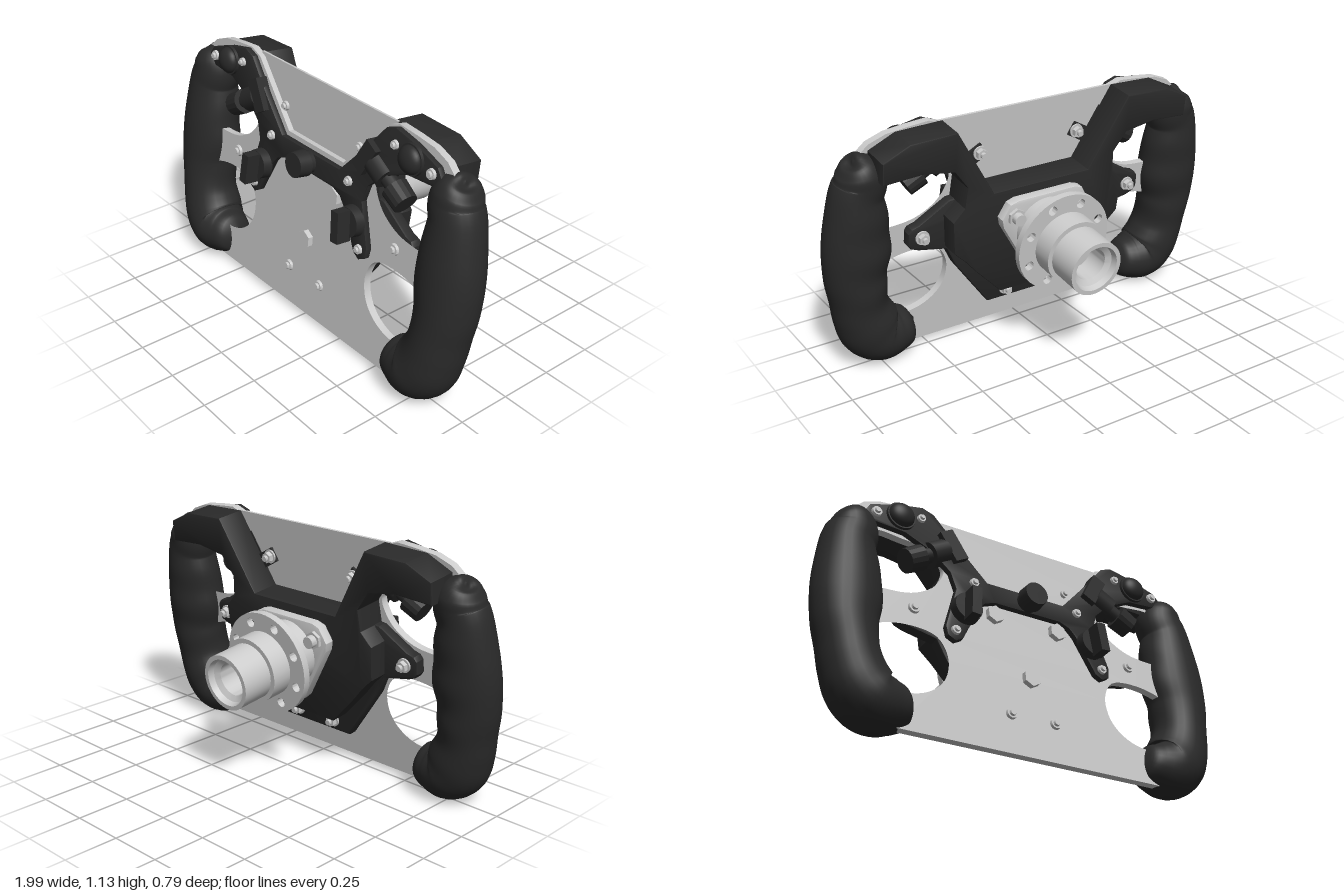
import * as THREE from 'three';
import { toCreasedNormals } from 'three/addons/utils/BufferGeometryUtils.js';

const grey = new THREE.MeshStandardMaterial({ color: 0xcccccc });
const black = new THREE.MeshStandardMaterial({ color: 0x2a2a2a });
const SIDES = [1, -1];

// Layout: z = 0 is the front surface of the main plate, y is measured from the ground.
export function createModel() {
  const model = new THREE.Group();
  const tilt = new THREE.Group();
  const body = new THREE.Group();
  tilt.name = 'tiltedWheel';
  body.name = 'wheelBody';
  model.add(tilt);
  tilt.add(body);

  const add = (name, geo, mat, x = 0, y = 0, z = 0) => {
    const m = new THREE.Mesh(geo, mat);
    m.name = name;
    m.position.set(x, y, z);
    body.add(m);
    return m;
  };
  // Cylinder along z between z0 and z1
  const peg = (name, mat, x, y, rBack, rFront, z0, z1, seg = 20) => {
    const g = new THREE.CylinderGeometry(rFront, rBack, z1 - z0, seg).rotateX(Math.PI / 2);
    return add(name, toCreasedNormals(g, 0.6), mat, x, y, (z0 + z1) / 2);
  };
  // Screw with a raised round centre
  const screw = (name, x, y, r, z) => {
    peg(name, grey, x, y, r, r * 0.9, z, z + 0.012);
    peg(name + 'Centre', grey, x, y, r * 0.6, r * 0.5, z + 0.012, z + 0.022, 12);
  };
  const v2 = (p) => p.map(([x, y]) => new THREE.Vector2(x, y));
  // Right-hand outline completed by its mirror image
  const mirrored = (half) =>
    new THREE.Shape(v2([...half, ...half.map(([x, y]) => [-x, y]).reverse()]));
  const slab = (name, shape, mat, z0, z1, bevel = 0) => {
    const g = new THREE.ExtrudeGeometry(shape, {
      depth: z1 - z0 - 2 * bevel, curveSegments: 24, bevelEnabled: bevel > 0,
      bevelSize: bevel, bevelThickness: bevel, bevelOffset: -bevel, bevelSegments: 2,
    });
    return add(name, toCreasedNormals(g, 0.5), mat, 0, 0, z0 + bevel);
  };
  const roundHole = (pts, s) => {
    const c = new THREE.CatmullRomCurve3(pts.map(([x, y]) => new THREE.Vector3(s * x, y, 0)), true);
    return new THREE.Path(c.getPoints(48).map((p) => new THREE.Vector2(p.x, p.y)));
  };

  // Main plate with thumb openings
  const plate = mirrored([[0.19, 0.85], [0.435, 1.115], [0.5, 1.14], [0.6, 1.132], [0.7, 1.12], [0.78, 1.09],
    [0.83, 1.045], [0.85, 0.95], [0.88, 0.8], [0.88, 0.3], [0.8, 0.12], [0.66, 0.03]]);
  for (const s of SIDES) {
    plate.holes.push(
      roundHole([[0.8, 0.68], [0.68, 0.67], [0.55, 0.69], [0.445, 0.76], [0.4, 0.87], [0.47, 0.935],
        [0.6, 0.955], [0.74, 0.955], [0.8, 0.85]], s),
      roundHole([[0.8, 0.4], [0.74, 0.48], [0.6, 0.52], [0.45, 0.5], [0.4, 0.41], [0.42, 0.3],
        [0.5, 0.225], [0.62, 0.2], [0.76, 0.27]], s));
  }
  slab('mainPlate', plate, grey, -0.035, 0);
  slab('upperPanel', mirrored([[0.46, 1.132], [0.38, 0.98], [0.25, 0.78]]), grey, -0.038, -0.026);

  // Black control panel on the front
  slab('controlPanel', mirrored([[0.2, 0.83], [0.33, 0.97], [0.455, 1.115], [0.51, 1.135], [0.63, 1.11],
    [0.76, 1.065], [0.785, 1.03], [0.775, 0.995], [0.74, 0.98], [0.6, 0.97], [0.47, 0.91], [0.385, 0.83],
    [0.36, 0.75], [0.42, 0.55], [0.412, 0.505], [0.375, 0.485], [0.34, 0.505], [0.25, 0.68], [0.22, 0.715],
    [0.17, 0.735]]), black, 0, 0.03, 0.004);

  // Rear housing: deep core with horns, and a thinner base around it
  slab('rearHousing', mirrored([[0.25, 0.8], [0.44, 1.132], [0.66, 1.125], [0.785, 1.065], [0.785, 0.965],
    [0.6, 0.975], [0.45, 0.95], [0.385, 0.86], [0.395, 0.76], [0.45, 0.7], [0.44, 0.54], [0.38, 0.48],
    [0.33, 0.42], [0.19, 0.27]]), black, -0.18, -0.035, 0.006);
  slab('housingBase', mirrored([[0.2, 0.78], [0.42, 0.76], [0.57, 0.67], [0.605, 0.66], [0.62, 0.64], [0.62, 0.58],
    [0.605, 0.56], [0.57, 0.545], [0.43, 0.515], [0.385, 0.42], [0.2, 0.16]]), black, -0.09, -0.035, 0.01);

  // Hand grips: oval sections swept along a bent path (x, y, radius across, radius in depth)
  const stations = [
    [0.85, 1.035, 0.001, 0.001], [0.843, 1.027, 0.06, 0.07], [0.828, 0.985, 0.098, 0.102],
    [0.82, 0.93, 0.115, 0.108], [0.838, 0.86, 0.122, 0.112], [0.842, 0.7, 0.147, 0.124],
    [0.845, 0.58, 0.152, 0.127], [0.85, 0.47, 0.14, 0.126], [0.84, 0.37, 0.13, 0.127],
    [0.82, 0.27, 0.135, 0.131], [0.785, 0.188, 0.145, 0.136], [0.735, 0.142, 0.137, 0.137],
    [0.66, 0.137, 0.115, 0.118], [0.6, 0.15, 0.085, 0.085], [0.566, 0.158, 0.001, 0.001]];
  const gripPath = new THREE.CatmullRomCurve3(stations.map(([x, y, r]) => new THREE.Vector3(x, y, r)));
  const gripDepth = new THREE.SplineCurve(stations.map(([, , , d], i) => new THREE.Vector2(i, d)));
  const gripGeometry = (s, rows = 90, cols = 28) => {
    const pos = [], idx = [];
    for (let i = 0; i <= rows; i++) {
      const p = gripPath.getPoint(i / rows);
      const t = gripPath.getTangent(i / rows).setZ(0).normalize();
      const depth = gripDepth.getPoint(i / rows).y;
      for (let j = 0; j < cols; j++) {
        const a = (j / cols) * Math.PI * 2, c = Math.cos(a), n = Math.sin(a);
        const finger = 1 + 0.035 * Math.sin(p.y * 34) * Math.max(0, -0.6 * c - 0.6 * n);
        const r = Math.max(p.z, 0.001) * finger;
        pos.push(s * (p.x - t.y * c * r), p.y + t.x * c * r, -0.036 + n * depth * finger);
        if (i < rows) {
          const A = i * cols + j, B = i * cols + ((j + 1) % cols), C = A + cols, D = B + cols;
          idx.push(...(s > 0 ? [A, B, C, B, D, C] : [A, C, B, B, C, D]));
        }
      }
    }
    const g = new THREE.BufferGeometry();
    g.setAttribute('position', new THREE.Float32BufferAttribute(pos, 3));
    g.setIndex(idx);
    g.computeVertexNormals();
    return g;
  };

  for (const s of SIDES) {
    add(s > 0 ? 'leftGrip' : 'rightGrip', gripGeometry(s), black);

    // Domed push button on each horn
    peg('buttonCollar', black, s * 0.62, 1.045, 0.068, 0.066, 0.028, 0.042, 32);
    add('domeButton', new THREE.SphereGeometry(0.06, 28, 12, 0, Math.PI * 2, 0, Math.PI / 2)
      .rotateX(Math.PI / 2).scale(1, 1, 0.65), black, s * 0.62, 1.045, 0.04);

    // Rotary selector with a pointer handle
    peg('selectorBase', black, s * 0.325, 0.648, 0.07, 0.066, 0.028, 0.07, 32);
    const handle = add('selectorHandle', new THREE.BoxGeometry(0.045, 0.14, 0.07), black, s * 0.325, 0.64, 0.1);
    handle.rotation.z = s * 0.08;

    // Thumb encoder lying in the plane of the plate, pointing outward and down
    const encoder = new THREE.Group();
    encoder.name = 'thumbEncoder';
    encoder.position.set(s * 0.4, 0.945, 0.008);
    encoder.rotation.z = s * -(Math.PI / 2 + 0.52);
    body.add(encoder);
    const part = (name, geo, y) => {
      const m = new THREE.Mesh(geo, black);
      m.name = name;
      m.position.y = y;
      encoder.add(m);
    };
    part('encoderBracket', new THREE.BoxGeometry(0.15, 0.07, 0.1), -0.03);
    part('encoderBody', new THREE.CylinderGeometry(0.058, 0.058, 0.09, 24), 0.045);
    part('encoderShaft', new THREE.CylinderGeometry(0.035, 0.035, 0.08, 16), 0.11);
    part('encoderKnob', toCreasedNormals(new THREE.CylinderGeometry(0.054, 0.058, 0.085, 16), 0.2), 0.18);

    // Screws and bolts
    for (const [x, y, r, z] of [[0.735, 1.03, 0.024, 0.03], [0.52, 1.068, 0.02, 0.03], [0.27, 0.806, 0.022, 0.03],
      [0.375, 0.535, 0.022, 0.03], [0.255, 0.942, 0.022, -0.026], [0.555, 0.612, 0.027, 0], [0.11, 0.215, 0.026, 0]])
      screw('frontScrew', s * x, y, r, z);
    for (const [x, y, z] of [[0.555, 0.612, -0.09], [0.11, 0.215, -0.09], [0.255, 0.942, -0.05]]) {
      peg('rearWasher', grey, s * x, y, 0.033, 0.033, z - 0.008, z);
      peg('rearNut', grey, s * x, y, 0.026, 0.026, z - 0.03, z - 0.008, 6);
      peg('rearBoltEnd', grey, s * x, y, 0.014, 0.014, z - 0.045, z - 0.03, 12);
    }
    // Black tab joining the upper panel bolt to the horn
    const tab = add('panelTab', new THREE.BoxGeometry(0.12, 0.07, 0.014), black, s * 0.285, 0.925, -0.044);
    tab.rotation.z = s * -0.52;
  }

  // Centre push knob
  peg('centreKnobBase', black, 0, 0.785, 0.05, 0.05, 0.028, 0.055, 28);
  peg('centreKnob', black, 0, 0.785, 0.06, 0.056, 0.055, 0.115, 28);

  // Hub adapter: three lobes, each with a through bolt and a spacer
  const hubY = 0.592;
  const adapter = [];
  for (let i = 0; i < 3; i++) {
    const a = Math.PI / 6 + (i * Math.PI * 2) / 3;
    const x = 0.187 * Math.cos(a), y = hubY + 0.187 * Math.sin(a);
    for (const d of [-0.32, -0.16, 0.16, 0.32]) {
      const r = Math.abs(d) > 0.2 ? 0.225 : 0.245;
      adapter.push([r * Math.cos(a + d), hubY + r * Math.sin(a + d)]);
    }
    peg('hubBolt', grey, x, y, 0.042, 0.042, 0, 0.025, 6);
    peg('hubSpacer', grey, x, y, 0.042, 0.042, -0.24, -0.223, 6);
    peg('hubBoltEnd', grey, x, y, 0.028, 0.028, -0.27, -0.238, 18);
  }
  slab('hubAdapter', new THREE.Shape(v2(adapter)), grey, -0.225, -0.178, 0.004);

  // Stepped hub with a bored end, profile as (radius, z)
  const hub = new THREE.LatheGeometry(v2([[0, -0.48], [0.075, -0.48], [0.075, -0.585], [0.1, -0.6], [0.108, -0.628],
    [0.128, -0.628], [0.128, -0.478], [0.15, -0.478], [0.15, -0.35], [0.143, -0.35], [0.143, -0.278],
    [0.15, -0.278], [0.15, -0.215]]), 48).rotateX(Math.PI / 2);
  add('hub', toCreasedNormals(hub, 0.5), grey, 0, hubY);

  // Pull flange with a ring of holes
  const flange = new THREE.Shape();
  flange.absarc(0, 0, 0.235, 0, Math.PI * 2);
  for (let i = 0; i < 8; i++) {
    const a = ((i + 0.5) * Math.PI) / 4;
    const hole = new THREE.Path();
    hole.absarc(0.192 * Math.cos(a), 0.192 * Math.sin(a), 0.022, 0, Math.PI * 2, true);
    flange.holes.push(hole);
  }
  slab('hubFlange', flange, grey, -0.38, -0.348).position.y = hubY;

  // Lean the whole wheel back and rest it on the ground
  body.position.y = -0.56;
  tilt.rotation.x = -0.122;
  tilt.position.set(0, 0.56, 0.245);
  model.updateMatrixWorld(true);
  tilt.position.y -= new THREE.Box3().setFromObject(model, true).min.y;
  return model;
}
